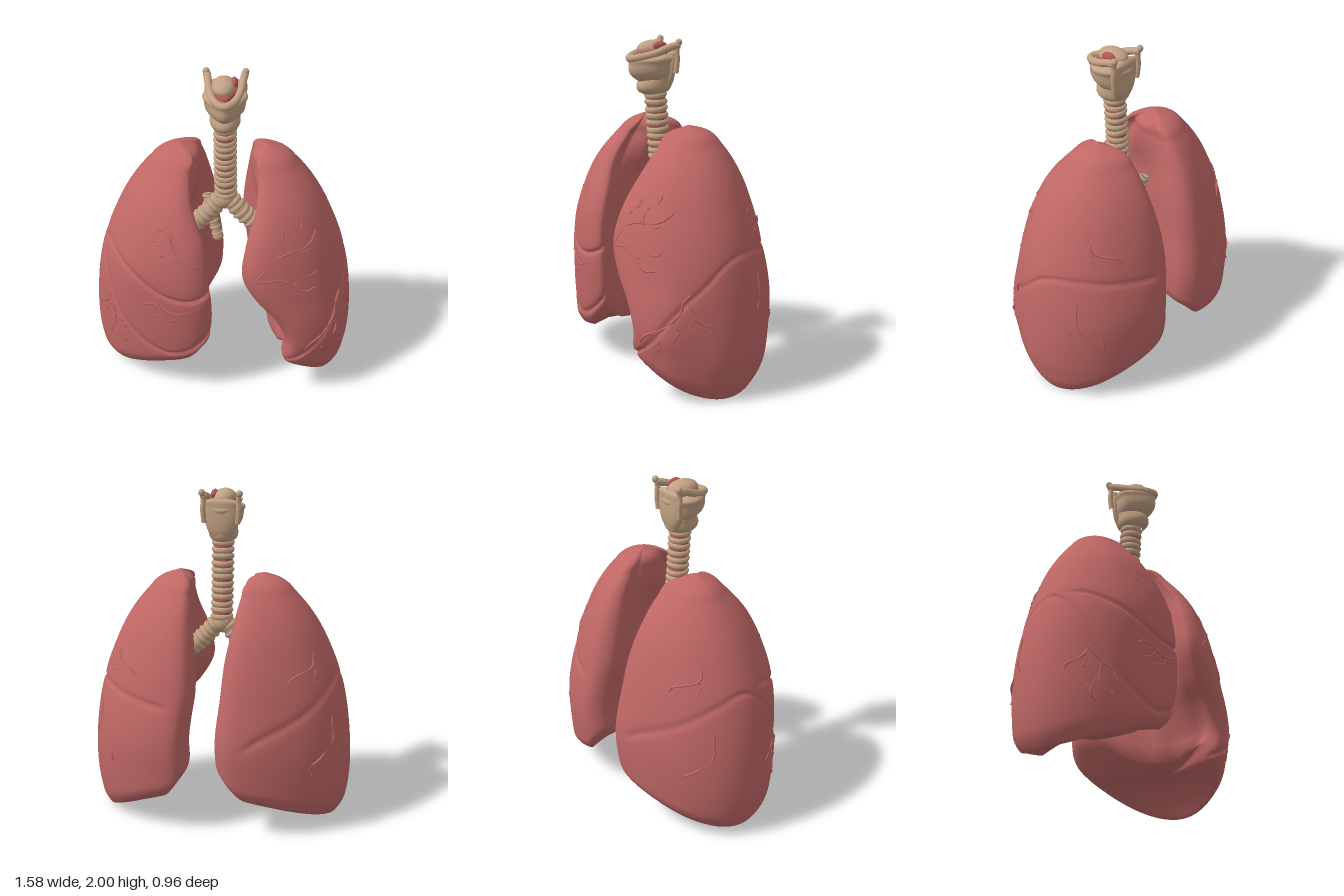
import * as THREE from 'three';

const mat = (name, color) => Object.assign(new THREE.MeshStandardMaterial({ color }), { name });
const V = (x, y, z) => new THREE.Vector3(x, y, z);
const { lerp, smoothstep } = THREE.MathUtils;
// smooth table lookup: rows of [key, value, value, ...]
const table = rows => {
  const n = rows[0].length - 1;
  const f = new THREE.CubicInterpolant(rows.map(r => r[0]), rows.flatMap(r => r.slice(1)), n, new Float64Array(n));
  const lo = rows[0][0], hi = rows[rows.length - 1][0];
  return k => f.evaluate(Math.min(hi, Math.max(lo, k)));
};

// closed grid of rings, point(row, col) -> Vector3, rows going up, columns from +x to +z
function gridGeometry(rows, cols, point, flip) {
  const pos = [], idx = [];
  for (let j = 0; j <= rows; j++) for (let i = 0; i < cols; i++) pos.push(...point(j, i).toArray());
  for (let j = 0; j < rows; j++) for (let i = 0; i < cols; i++) {
    const a = j * cols + i, b = j * cols + (i + 1) % cols, c = a + cols, d = b + cols;
    if (flip) idx.push(a, b, c, b, d, c); else idx.push(a, c, b, b, c, d);
  }
  const g = new THREE.BufferGeometry();
  g.setAttribute('position', new THREE.Float32BufferAttribute(pos, 3));
  g.setIndex(idx);
  g.computeVertexNormals();
  return g;
}

// horizontal lung section: u from inner (0) to outer (1), w from back (-1) to front (1)
const SECTION = [[1, 0], [.93, .4], [.72, .75], [.4, .96], [.17, .99], [.04, .88], [.1, .66], [.2, .4], [.2, .1],
  [.1, -.3], [.02, -.6], [.02, -.85], [.12, -.99], [.35, -.98], [.7, -.75], [.92, -.4]];
const COLS = 176, CAP = 14, WALL = 130, TOP = 1.52, APEX = .255;
const outline = new THREE.CatmullRomCurve3(SECTION.map(([u, w]) => V(u, w, 0)), true).getPoints(COLS);
// shared lung profile: [height, outer x, front z, back z]
const profile = table([[0, .74, .41, -.41], [.25, .785, .45, -.455], [.55, .78, .475, -.478], [.85, .73, .47, -.437],
  [1.05, .66, .42, -.39], [1.25, .56, .318, -.312], [1.4, .445, .195, -.215], [1.48, .36, .112, -.13], [TOP, APEX, 0, 0]]);

// medial rows: [height, inner x, inset of the front edge]; fissures: [section point number, height]
function lungGeometry(side, low, slope, medial, fissures) {
  const inside = table([...medial, [TOP, APEX, 0]]);
  const grooves = fissures.map(f => ({ y: table(f), from: f[0][0], to: f[f.length - 1][0] }));
  const place = (u, w, y, shrink, yOut) => {
    const [outer, front, back] = profile(y), [inner, inset] = inside(y);
    // the inner hollow fades out towards the apex
    const oval = Math.min(u, .5 - .5 * Math.sqrt(Math.max(0, 1 - w * w)));
    u = lerp(u, oval, smoothstep(y, 1.1, 1.48) * (1 - smoothstep(u, .22, .45)));
    u += inset / Math.max(outer - inner, .05) * smoothstep(w, .2, .8) * (1 - u);
    u = .55 + (u - .55) * shrink;
    return V(side * (inner + (outer - inner) * u), yOut, (front + back) / 2 + w * shrink * (front - back) / 2);
  };
  // lower rim: slopes up inwards, higher at the hollow and at the inner corners
  const rimHeight = (u, w) => low + slope * (1 - u) + .055 * w * w
    + .12 * Math.max(0, 1 - 2 * u) * Math.max(0, 1 - w * w) + .07 * (1 - smoothstep(u, 0, .16));
  return gridGeometry(CAP + WALL, COLS, (j, i) => {
    const { x: u, y: w } = outline[i];
    const rim = rimHeight(u, w);
    if (j < CAP) { // shallow hollow underside
      const k = j / CAP;
      return place(u, w, rim, k * .9, lerp(low + slope * .45 + .08, rim, k * k) + .03 * (1 - k * k));
    }
    const s = (j - CAP) / WALL, y = rim + (TOP - rim) * (1 - (1 - s) ** 1.35);
    const round = Math.max(0, 1 - (y - rim) / .1);
    let shrink = 1 - .1 * round * round, t = i / COLS * SECTION.length;
    if (t > 8) t -= SECTION.length;
    for (const g of grooves) { // fissures between the lobes
      if (t < g.from || t > g.to) continue;
      const f = g.y(t)[0], m = (g.y(t + .1)[0] - g.y(t - .1)[0]) / .2 / .27;
      const d = Math.abs(y - f) / Math.hypot(1, m);
      const fade = Math.min(1, (t - g.from) * 2, (g.to - t) * 2);
      shrink -= fade * (.036 * Math.exp(-((d / .01) ** 2)) + .008 * Math.exp(-((d / .035) ** 2)));
    }
    return place(u, w, y, shrink, y);
  }, side < 0);
}

// slightly raised vessel laid on a lung along a flat path of [x, y], or [z, y] on the outer side
function vesselGeometry(lung, path, lateral, radius) {
  const p = lung.attributes.position;
  const points = path.map(q => {
    let best = Infinity, depth = 0;
    for (let i = CAP * COLS; i < p.count; i++) {
      const a = lateral ? p.getZ(i) : p.getX(i), b = lateral ? p.getX(i) : p.getZ(i);
      const cost = (a - q.x) ** 2 + (p.getY(i) - q.y) ** 2 - .003 * (lateral ? Math.abs(b) : b);
      if (cost < best) { best = cost; depth = b; }
    }
    depth -= Math.sign(depth) * .004;
    return lateral ? V(depth, q.y, q.x) : V(q.x, q.y, depth);
  });
  return new THREE.TubeGeometry(new THREE.CatmullRomCurve3(points), 18, radius, 6);
}

export function createModel() {
  const root = new THREE.Group();
  root.name = 'lungsAndAirway';
  const lungMat = mat('lung red', 0xc06866), cartilage = mat('cartilage beige', 0xc2a284), muscle = mat('muscle red', 0xb5585a);
  const add = (name, geo, m, parent = root) => {
    const mesh = new THREE.Mesh(geo, m);
    mesh.name = name;
    parent.add(mesh);
    return mesh;
  };

  // lungs with branching vessels; trees: [across, height, degrees, length]
  const lung = (name, side, low, slope, medial, fissures, frontTrees, outerTrees) => {
    const group = new THREE.Group();
    group.name = name;
    root.add(group);
    const geo = lungGeometry(side, low, slope, medial, fissures);
    add('lobes', geo, lungMat, group);
    const grow = (lateral, [a, y, degrees, length], twigs) => {
      const dir = degrees * Math.PI / 180, path = [];
      for (let k = 0; k <= 8; k++) {
        const r = length * k / 8, bend = dir + .2 * Math.sin(k * .7);
        path.push(new THREE.Vector2(a + r * Math.cos(bend), y + r * Math.sin(bend)));
      }
      add('vessel', vesselGeometry(geo, path, lateral, twigs ? .0075 : .006), lungMat, group);
      for (let k = 0; k < twigs; k++) {
        const q = path[3 + k];
        grow(lateral, [q.x, q.y, degrees + (k % 2 ? -32 : 36), length * .4], 0);
      }
    };
    frontTrees.forEach(t => grow(false, t, 3));
    outerTrees.forEach(t => grow(true, t, 1));
  };
  const outerTrees = [[-.18, 1.1, -130, .22], [-.2, .72, -105, .36], [.25, .6, -118, .2]];
  lung('leftLung', 1, 0, .2,
    [[0, .2, .1], [.25, .15, .16], [.4, .135, .23], [.55, .14, .17], [.7, .125, .06], [.85, .105, 0], [1.05, .115, .01], [1.25, .14, .045], [1.4, .162, .035], [1.48, .185, .01]],
    [[[-3.6, .78], [-2, .83], [-1, .85], [0, .82], [1, .67], [2, .51], [3, .33], [4.8, .22]]],
    [[.2, .86, 42, .42], [.2, .86, -6, .36], [.7, .66, -112, .4]], outerTrees);
  lung('rightLung', -1, .04, .15,
    [[0, .1, .02], [.25, .045, .02], [.55, .012, .015], [.85, .04, .01], [1.05, .06, .02], [1.25, .1, .06], [1.4, .135, .045], [1.48, .165, .01]],
    [[[-3.6, .55], [-2, .76], [-1, .88], [0, .93], [1, .76], [2, .46], [3, .3], [4, .33], [5.5, .5]],
      [[.3, .94], [1, .93], [2, .85], [3, .73], [4, .71], [5.6, .78]]],
    [[-.12, .93, 146, .32], [-.12, .66, 190, .34], [-.7, .6, -75, .34]], outerTrees);

  // ringed airways: a membrane tube with cartilage rings
  const airway = (name, points, radius, rings, core = cartilage) => {
    const group = new THREE.Group();
    group.name = name;
    root.add(group);
    const curve = new THREE.CatmullRomCurve3(points.map(p => V(...p)));
    add('membrane', new THREE.TubeGeometry(curve, 20, radius * .84, 20), core, group);
    const ring = new THREE.TorusGeometry(radius * .74, radius * .29, 7, 22);
    for (let i = 0; i < rings; i++) {
      const mesh = add('cartilageRing', ring, cartilage, group), t = (i + .5) / rings;
      mesh.position.copy(curve.getPointAt(t));
      mesh.quaternion.setFromUnitVectors(V(0, 0, 1), curve.getTangentAt(t));
      mesh.rotateX(.08 * Math.sin(i * 2.3));
    }
  };
  airway('trachea', [[.015, 1.2, .055], [.012, 1.45, .07], [.012, 1.73, .09]], .067, 13, muscle);
  airway('leftBronchus', [[.015, 1.21, .055], [.09, 1.12, .07], [.17, 1.04, .07], [.25, .97, .05], [.31, .88, .03]], .059, 11);
  airway('rightBronchus', [[.01, 1.21, .055], [-.06, 1.12, .06], [-.13, 1.04, .06], [-.21, .96, .05], [-.27, .87, .03]], .059, 11);
  airway('lowerBronchus', [[-.1, 1.15, -.05], [-.085, 1.05, -.03], [-.035, .87, 0]], .034, 7);

  // larynx
  const larynx = new THREE.Group();
  larynx.name = 'larynx';
  larynx.position.x = .012;
  root.add(larynx);
  const ball = (name, x, y, z, rx, ry, rz, m, parent = larynx) => {
    const mesh = add(name, new THREE.SphereGeometry(1, 22, 14), m, parent);
    mesh.position.set(x, y, z);
    mesh.scale.set(rx, ry, rz);
  };
  ball('carina', .012, 1.185, .057, .068, .068, .068, cartilage, root);
  ball('bronchusEnd', -.035, .87, 0, .034, .034, .034, cartilage, root);
  ball('epiglottis', -.008, 1.938, .1, .068, .05, .098, cartilage);
  ball('redPad', .05, 1.958, .085, .022, .027, .045, muscle);
  // rows: [height, half width, front z, back z], narrowed to a keel at the front
  const shell = (name, rows, keel, m) => {
    const f = table(rows), lo = rows[0][0], hi = rows[rows.length - 1][0];
    add(name, gridGeometry(20, 40, (j, i) => {
      const a = i / 40 * Math.PI * 2, y = lo + (hi - lo) * j / 20, [rx, zf, zb] = f(y);
      const s = Math.sin(a), c = Math.cos(a) * (1 - keel * Math.max(0, s));
      return V(rx * c, y + .03 * keel * Math.abs(c) * (j / 20), (zf + zb) / 2 + (zf - zb) / 2 * s);
    }, false), m, larynx);
  };
  shell('cricoidCartilage', [[1.675, .05, .16, .04], [1.69, .074, .19, .01], [1.76, .086, .19, -.01], [1.79, .08, .15, -.01]], .1, cartilage);
  shell('thyroidCartilage', [[1.75, .07, .19, -.005], [1.79, .104, .243, -.015], [1.85, .118, .255, -.015], [1.89, .118, .235, -.015], [1.91, .05, .14, .04]], .35, cartilage);
  shell('rearCartilage', [[1.7, .05, .06, 0], [1.76, .085, .06, -.015], [1.9, .1, .05, -.015], [1.935, .085, .04, -.012], [1.945, .03, .03, 0]], 0, cartilage);
  shell('throatMuscle', [[1.85, .08, .19, 0], [1.9, .076, .21, 0], [1.935, .066, .18, .01], [1.95, .02, .12, .07]], .2, muscle);
  const rod = (name, pts, r) => add(name, new THREE.TubeGeometry(new THREE.CatmullRomCurve3(pts.map(p => V(...p))), 40, r, 10), cartilage, larynx);
  const arm = [[.108, 1.965, -.012], [.098, 1.95, .05], [.085, 1.92, .13], [.055, 1.9, .21]];
  rod('hyoidBone', [...arm, [0, 1.89, .255], ...arm.map(([x, y, z]) => [-x, y, z]).reverse()], .022);
  for (const s of [1, -1]) {
    rod('thyroidHorn', [[s * .1, 1.8, .005], [s * .106, 1.88, 0], [s * .104, 1.94, .002], [s * .112, 1.985, -.005]], .016);
    ball('hornTip', s * .111, 1.979, -.008, .02, .021, .02, cartilage);
  }
  return root;
}
